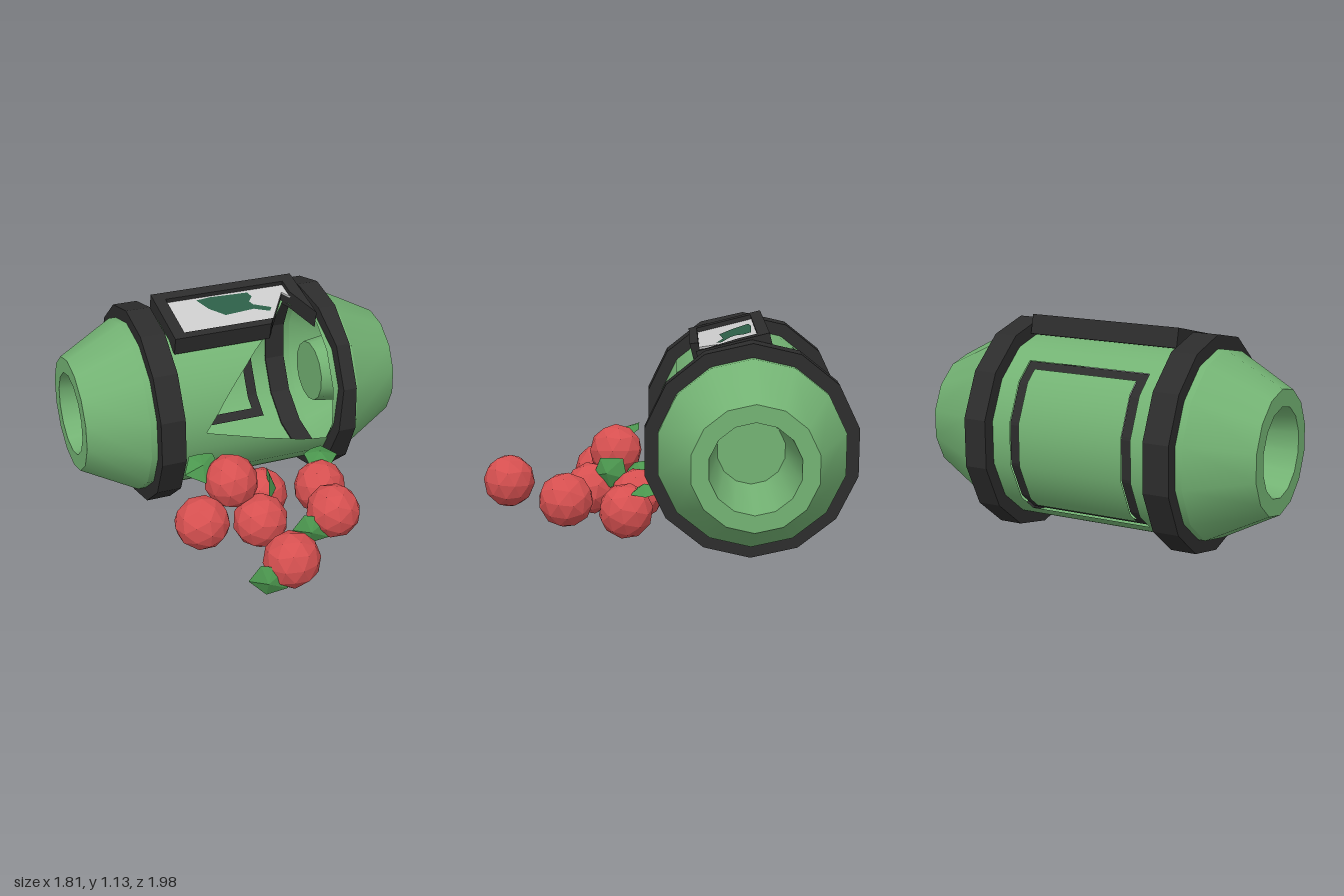
import * as THREE from 'three';

const CY = 0.55, CZ = -0.45, SIDES = 14, R = 0.48;
const rad = THREE.MathUtils.degToRad;
const mat = (color, extra = {}) => new THREE.MeshStandardMaterial({ color, ...extra });
const green = mat(0x73b273, { side: THREE.DoubleSide });
const black = mat(0x2c2c2c, { flatShading: true, side: THREE.DoubleSide });
const red = mat(0xd65050, { flatShading: true });
const leafGreen = mat(0x4b964e, { flatShading: true, side: THREE.DoubleSide });
const grey = mat(0xcccccc, { side: THREE.DoubleSide });
const darkGreen = mat(0x2c5e47, { side: THREE.DoubleSide });

function add(parent, name, geometry, material) {
  const mesh = new THREE.Mesh(geometry, material);
  mesh.name = name;
  parent.add(mesh);
  return mesh;
}

// distance from the axis to a 14-sided outline; angle 0 faces front, 90 degrees is up
function outline(angle, r) {
  const step = 2 * Math.PI / SIDES;
  return r * Math.cos(step / 2) / Math.cos(angle - Math.round(angle / step) * step);
}

// piece of the drum wall between two angles (degrees); x limits may depend on the angle
function wall(a0, a1, x0, x1, r = R) {
  const at = (v, a) => (typeof v === 'function' ? v(a) : v);
  const n = Math.max(2, Math.ceil((a1 - a0) / 2));
  const pos = [], nor = [], idx = [];
  for (let i = 0; i <= n; i++) {
    const deg = a0 + (a1 - a0) * i / n, a = rad(deg), d = outline(a, r);
    for (const x of [at(x0, deg), at(x1, deg)]) {
      pos.push(x, d * Math.sin(a), d * Math.cos(a));
      nor.push(0, Math.sin(a), Math.cos(a));
    }
    if (i < n) { const k = i * 2; idx.push(k, k + 1, k + 3, k, k + 3, k + 2); }
  }
  const g = new THREE.BufferGeometry();
  g.setAttribute('position', new THREE.Float32BufferAttribute(pos, 3));
  g.setAttribute('normal', new THREE.Float32BufferAttribute(nor, 3));
  g.setIndex(idx);
  return g;
}

// surface of revolution about the x axis from [x, radius] points
function turned(points) {
  const g = new THREE.LatheGeometry(points.map(([x, r]) => new THREE.Vector2(r, x)), SIDES, Math.PI / SIDES);
  return g.rotateZ(-Math.PI / 2);
}

// piecewise linear lookup
function lerpTable(table, a) {
  for (let i = 1; i < table.length; i++) {
    const [a0, v0] = table[i - 1], [a1, v1] = table[i];
    if (a <= a1) return v0 + (v1 - v0) * (a - a0) / (a1 - a0);
  }
  return table[table.length - 1][1];
}

// torn opening: left and right edges by angle
const TEAR_LEFT = [[-27.5, 0.44], [-24.5, 0.3], [-18, 0.15], [-12, 0], [-2, -0.29], [14.5, -0.2],
  [31, -0.08], [47, 0.05], [60, 0.17], [87, 0.34]];
const TEAR_RIGHT = [[-27.5, 0.45], [60, 0.45], [87, 0.34]];

const shapeOf = (pts) => new THREE.Shape(pts.map(([x, y]) => new THREE.Vector2(x, y)));
const slab = (pts, top, depth) =>
  new THREE.ExtrudeGeometry(shapeOf(pts), { depth, bevelEnabled: false }).translate(0, 0, top - depth);

function makeDrum() {
  const drum = new THREE.Group();
  drum.name = 'drum';
  drum.position.set(0, CY, CZ);

  // wall with the torn front and the framed back panel
  const pieces = [
    [-27.5, 87, -0.6, (a) => lerpTable(TEAR_LEFT, a)],
    [-27.5, 87, (a) => lerpTable(TEAR_RIGHT, a), 0.6],
    [87, 125, -0.6, 0.6],
    [125, 235, -0.6, -0.33],
    [125, 235, 0.34, 0.6],
    [235, 332.5, -0.6, 0.6],
  ];
  pieces.forEach((p) => add(drum, 'drumWall', wall(...p), green));
  add(drum, 'backPanel', wall(131, 229, -0.28, 0.29), green);
  const slots = [[124, 236, -0.335, -0.275], [124, 236, 0.285, 0.345],
    [124, 131.5, -0.33, 0.34], [228.5, 236, -0.33, 0.34]];
  slots.forEach((s) => add(drum, 'backPanelFrame', wall(...s, 0.467), black));

  for (const s of [-1, 1]) {
    // tapered end with rim, deep socket and socket floor
    const profile = [[0.6, R], [0.905, 0.316], [0.905, 0.228], [0.52, 0.174], [0.52, 0]];
    ['taper', 'rim', 'socket', 'socketFloor'].forEach((name, i) =>
      add(drum, name, turned(profile.slice(i, i + 2).map(([x, r]) => [s * x, r])), green));

    // square-section band
    const a = s < 0 ? -0.565 : 0.44, b = s < 0 ? -0.43 : 0.56;
    const ring = turned([[a, 0.47], [b, 0.47], [b, 0.55], [a, 0.55], [a, 0.47]]);
    if (s > 0) { // edge worn away beside the tear
      const p = ring.attributes.position;
      for (let i = 0; i < p.count; i++) {
        const deg = THREE.MathUtils.radToDeg(Math.atan2(p.getY(i), p.getZ(i)));
        if (p.getX(i) < 0.5 && deg > -30 && deg < 80)
          p.setX(i, 0.44 + 0.045 * Math.sin(Math.PI * (deg + 30) / 110));
      }
    }
    add(drum, 'band', ring, black);
  }
  return drum;
}

// tilted display on top, broken at its front corner
function makeDisplay() {
  const display = new THREE.Group();
  display.name = 'display';
  display.position.set(0, 1.08, -0.33);
  display.rotation.x = -1.32;
  const frame = [[0.15, -0.195], [-0.395, -0.195], [-0.395, 0.215], [0.43, 0.215], [0.43, -0.165],
    [0.36, 0.05], [0.36, 0.155], [-0.33, 0.155], [-0.33, -0.15], [0.18, -0.15]];
  const screen = [[-0.34, -0.16], [0.17, -0.16], [0.33, 0.09], [0.37, 0.03], [0.37, 0.16], [-0.34, 0.16]];
  const stain = [[-0.16, 0.13], [-0.08, 0.14], [0.14, 0.13], [0.15, 0.09], [0.12, 0.05], [0.13, 0.02],
    [0.22, -0.03], [0.2, -0.06], [0.12, -0.02], [-0.05, -0.035], [-0.12, 0.04]];
  add(display, 'displayFrame', slab(frame, 0, 0.1), black);
  add(display, 'displayBacking', slab(screen, -0.035, 0.065), black);
  add(display, 'screen', slab(screen, -0.025, 0.01), grey);
  add(display, 'screenPatch', new THREE.ShapeGeometry(shapeOf(stain)).translate(0, 0, -0.021), darkGreen);
  return display;
}

// cupped leaf, tip toward -x
function leafGeometry() {
  const shape = shapeOf([[-0.1, 0], [-0.03, 0.085], [0.03, 0.075], [0.1, 0.055], [0.09, -0.06], [-0.02, -0.085]]);
  const pts = shape.getPoints(), pos = [0, 0, 0.02], idx = [];
  pts.forEach((p, i) => {
    pos.push(p.x, p.y, -2 * p.x * p.x - 2.5 * p.y * p.y);
    idx.push(0, 1 + (i + 1) % pts.length, 1 + i);
  });
  const g = new THREE.BufferGeometry();
  g.setAttribute('position', new THREE.Float32BufferAttribute(pos, 3));
  g.setIndex(idx);
  g.computeVertexNormals();
  return g;
}

function makeFruit() {
  const pile = new THREE.Group();
  pile.name = 'fruitPile';
  const fruits = [[-0.45, 0.21, 0.36], [-0.25, 0.365, 0.265], [-0.03, 0.17, 0.14], [-0.14, 0.175, 0.4],
    [0.3, 0.17, 0.19], [0.23, 0.21, 0.51], [-0.16, 0.21, 0.855]];
  const ball = new THREE.IcosahedronGeometry(0.147, 1);
  fruits.forEach((p, i) => {
    const fruit = add(pile, 'fruit', ball, red);
    fruit.position.set(...p);
    fruit.rotation.set(i * 1.3, i * 0.7, i * 2.1);
    fruit.scale.set(1, 0.97, 1);
  });
  // position, then rotation
  const leaves = [
    [[-0.31, 0.15, 0.915], [0, -0.4, 0.1]],
    [[0.08, 0.15, 0.565], [0, -0.4, 0.1]],
    [[-0.39, 0.45, 0.21], [-0.9, 0, 0.2]],
    [[-0.13, 0.31, 0.13], [-1.3, 0.2, 0.5]],
    [[-0.03, 0.29, 0.3], [0, 1.2, 0.3]],
    [[0.345, 0.31, 0.09], [-1.4, 0, 0.6]],
  ];
  const leaf = leafGeometry();
  leaves.forEach(([p, r]) => {
    const mesh = add(pile, 'leaf', leaf, leafGreen);
    mesh.position.set(...p);
    mesh.rotation.set(...r);
  });
  return pile;
}

export function createModel() {
  const model = new THREE.Group();
  model.name = 'brokenCanister';
  model.add(makeDrum(), makeDisplay(), makeFruit());
  return model;
}
